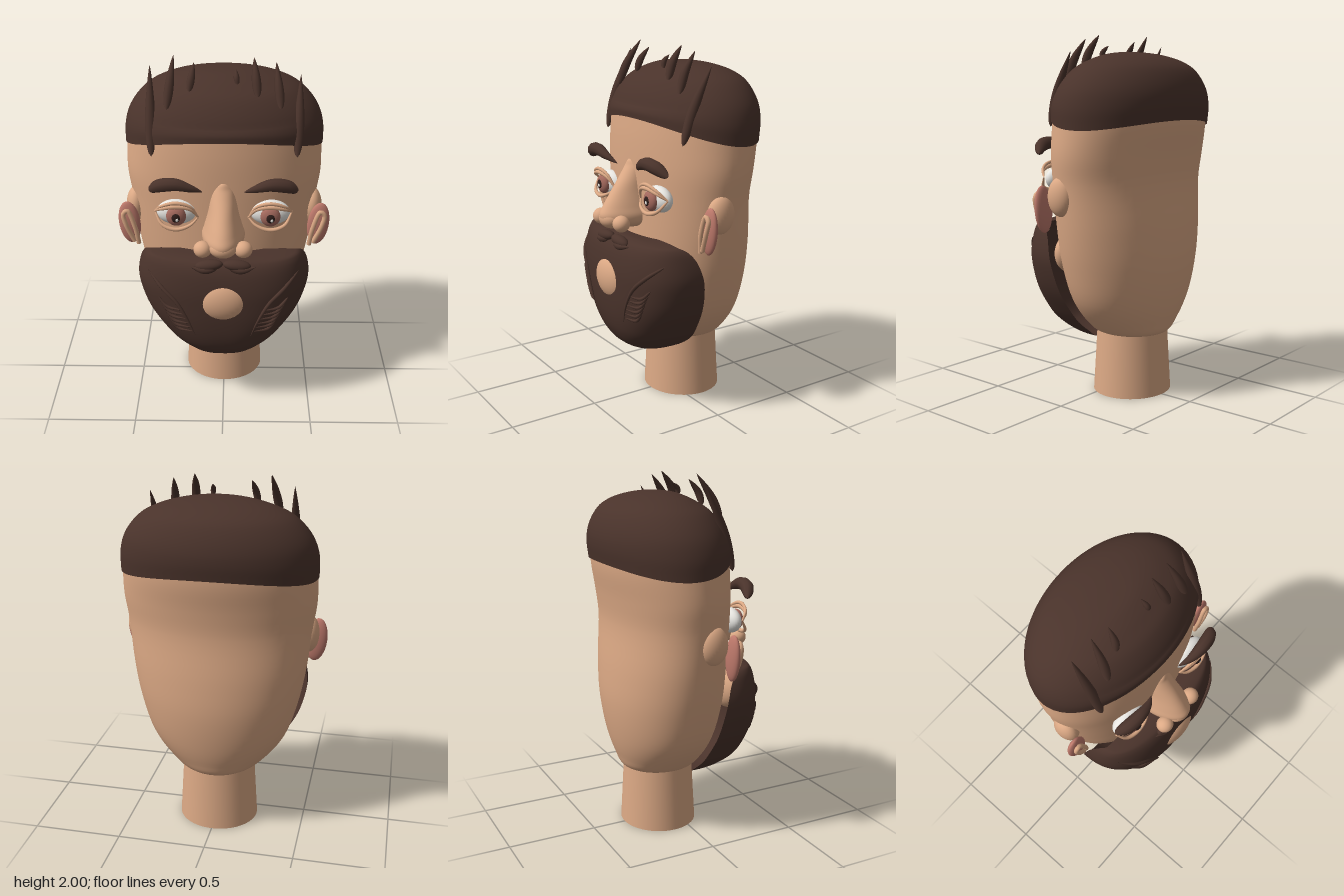
import * as THREE from 'three';
import { mergeVertices } from 'three/addons/utils/BufferGeometryUtils.js';

const V = (x, y, z) => new THREE.Vector3(x, y, z);
const flat = (name, color, double) => {
  const m = new THREE.MeshStandardMaterial({ color });
  m.name = name;
  if (double) m.side = THREE.DoubleSide;
  return m;
};

// Cross-section rows, bottom to top: [y, half width, front z, back z]
const HEAD = [[0.34, 0, -0.1, -0.1], [0.35, 0.2, 0.1, -0.3], [0.42, 0.29, 0.15, -0.335], [0.55, 0.385, 0.2, -0.372],
  [0.75, 0.45, 0.24, -0.4], [0.95, 0.488, 0.248, -0.398], [1.2, 0.515, 0.25, -0.38], [1.35, 0.535, 0.25, -0.395],
  [1.5, 0.532, 0.247, -0.42], [1.63, 0.522, 0.238, -0.425]];
const HAIR = [[1.49, 0.54, 0.252, -0.432], [1.6, 0.537, 0.25, -0.443], [1.7, 0.505, 0.225, -0.435], [1.8, 0.42, 0.16, -0.388],
  [1.85, 0.325, 0.09, -0.325], [1.88, 0.22, 0.03, -0.245], [1.895, 0.12, -0.02, -0.17], [1.9, 0, -0.09, -0.09]];
const BEARD = [[0.28, 0, 0.12, 0.12], [0.287, 0.08, 0.19, 0.08], [0.305, 0.15, 0.25, 0.055], [0.35, 0.225, 0.325, 0.03],
  [0.42, 0.31, 0.37, 0.038], [0.5, 0.37, 0.395, 0.05], [0.6, 0.43, 0.408, 0.063], [0.7, 0.465, 0.411, 0.075],
  [0.8, 0.48, 0.408, 0.092], [0.9, 0.458, 0.39, 0.125], [0.95, 0.43, 0.365, 0.165], [0.97, 0.395, 0.335, 0.2], [0.974, 0, 0.22, 0.22]];
const NOSE = [[1.015, 0, 0.3, 0.2], [1.022, 0.07, 0.37, 0.2], [1.05, 0.11, 0.42, 0.2], [1.09, 0.118, 0.434, 0.2], [1.14, 0.105, 0.41, 0.2],
  [1.22, 0.085, 0.357, 0.2], [1.3, 0.073, 0.3, 0.2], [1.35, 0.06, 0.268, 0.2], [1.38, 0.035, 0.255, 0.2], [1.39, 0, 0.24, 0.2]];

// Smooth skin over the rows; half = true builds only the front arc
function loft(rows, { half = false, power = 2, steps = 5, sides = 64 } = {}) {
  const a = new THREE.CatmullRomCurve3(rows.map(r => V(r[0], r[1], 0)), false, 'centripetal');
  const b = new THREE.CatmullRomCurve3(rows.map(r => V(r[0], r[2], r[3])), false, 'centripetal');
  const n = (rows.length - 1) * steps, pos = [], idx = [];
  const e = c => Math.sign(c) * Math.pow(Math.abs(c), 2 / power);
  for (let i = 0; i <= n; i++) {
    const p = a.getPoint(i / n), q = b.getPoint(i / n);
    const zc = half ? q.z : (q.y + q.z) / 2;
    for (let j = 0; j <= sides; j++) {
      const t = (j / sides) * Math.PI * (half ? 1 : 2);
      pos.push(Math.max(p.y, 0) * e(Math.cos(t)), p.x, zc + (q.y - zc) * e(Math.sin(t)));
      if (i < n && j < sides) {
        const k = i * (sides + 1) + j, u = k + sides + 1;
        idx.push(k, u, k + 1, u, u + 1, k + 1);
      }
    }
  }
  let g = new THREE.BufferGeometry();
  g.setAttribute('position', new THREE.Float32BufferAttribute(pos, 3));
  g.setIndex(idx);
  g = mergeVertices(g, 1e-5);
  g.computeVertexNormals();
  return g;
}

// Tube whose radius follows a rule along its length
function taper(points, radius, rule, seg = 28) {
  const curve = new THREE.CatmullRomCurve3(points);
  const g = new THREE.TubeGeometry(curve, seg, radius, 10, false), p = g.attributes.position, v = V(0, 0, 0);
  for (let i = 0; i <= seg; i++) {
    const c = curve.getPointAt(i / seg);
    for (let j = 0; j <= 10; j++) {
      v.fromBufferAttribute(p, i * 11 + j).sub(c).multiplyScalar(rule(i / seg)).add(c);
      p.setXYZ(i * 11 + j, v.x, v.y, v.z);
    }
  }
  return g;
}
const leaf = t => Math.pow(Math.max(0, Math.sin(Math.PI * Math.pow(t, 0.65))), 0.8);

// Front surface of the beard at a given x and y
function beardZ(x, y) {
  const i = Math.max(1, BEARD.findIndex(r => r[0] >= y));
  const lo = BEARD[i - 1], hi = BEARD[i], t = (y - lo[0]) / (hi[0] - lo[0]);
  const [, w, f, b] = lo.map((c, k) => c + (hi[k] - c) * t);
  return b + (f - b) * Math.pow(Math.max(0, 1 - Math.pow(Math.abs(x) / w, 2.6)), 1 / 2.6);
}

export function createModel() {
  const root = new THREE.Group();
  root.name = 'beardedHead';
  const skin = flat('skin', 0xdca985);
  const hair = flat('hair', 0x4a332b, true);
  const earPink = flat('earPink', 0xbf7a6c);
  const white = flat('eyeWhite', 0xe9e7e2);
  const irisMat = flat('iris', 0xa56a5e);
  const dark = flat('pupil', 0x2e1d1a);

  const add = (name, geo, mat) => {
    const m = new THREE.Mesh(geo, mat);
    m.name = name;
    root.add(m);
    return m;
  };
  const ball = (name, mat, p, r, tilt = 0) => {
    const m = add(name, new THREE.SphereGeometry(1, 32, 20), mat);
    m.position.set(...p);
    m.scale.set(...r);
    m.rotation.z = tilt;
  };

  // Head and neck
  add('head', loft(HEAD), skin);
  const neck = add('neck', new THREE.CylinderGeometry(0.203, 0.228, 0.42, 48), skin);
  neck.position.set(0, 0.21, -0.094);
  neck.scale.z = 0.94;

  // Hair cap with a hairline that rises at the front
  const cap = loft(HAIR), cp = cap.attributes.position;
  for (let i = 0; i < cp.count; i++) {
    const y = cp.getY(i), line = 1.49 + 0.68 * (cp.getZ(i) + 0.17) ** 2;
    if (y < 1.68) cp.setY(i, line + ((y - 1.49) / 0.19) * (1.68 - line));
  }
  cap.computeVertexNormals();
  add('hairCap', cap, hair);

  // Spiky locks: base x, y, z, tip x, y, z, radius
  for (const [bx, by, bz, tx, ty, tz, r] of [
    [-0.38, 1.5, 0.165, -0.385, 1.945, 0.0, 0.028], [-0.295, 1.75, 0.14, -0.26, 2.0, 0.01, 0.024],
    [-0.18, 1.83, 0.09, -0.155, 1.965, 0.02, 0.02], [0.07, 1.865, 0.075, 0.06, 1.935, 0.03, 0.015],
    [0.175, 1.81, 0.115, 0.155, 1.99, 0.015, 0.024], [0.295, 1.75, 0.125, 0.27, 1.965, 0.01, 0.024],
    [0.385, 1.5, 0.165, 0.4, 1.895, 0.0, 0.028]]) {
    const mid = V((bx + tx) / 2, (by + ty) / 2, (bz + tz) / 2 + 0.015);
    add('hairSpike', taper([V(bx, by, bz), mid, V(tx, ty, tz)], r, leaf), hair);
  }

  // Beard and mouth patch
  add('beard', loft(BEARD, { half: true, power: 2.6 }), hair);
  ball('mouthPatch', skin, [0, 0.735, 0.36], [0.145, 0.128, 0.074]);

  // Nose
  add('nose', loft(NOSE, { half: true, sides: 32 }), skin);
  ball('noseTip', skin, [0, 1.07, 0.37], [0.075, 0.055, 0.064]);

  for (const s of [-1, 1]) {
    ball('nostril', skin, [s * 0.108, 1.06, 0.37], [0.048, 0.045, 0.046]);

    // Moustache
    ball('moustacheLobe', hair, [s * 0.075, 0.957, 0.36], [0.075, 0.03, 0.034], s * -0.1);
    add('moustacheTip', taper([V(s * 0.03, 0.945, 0.365), V(s * 0.1, 0.935, 0.38), V(s * 0.175, 0.945, 0.36)], 0.02, leaf), hair);

    // Eye
    ball('eyeball', white, [s * 0.25, 1.207, 0.222], [0.107, 0.071, 0.054]);
    ball('iris', irisMat, [s * 0.25, 1.205, 0.272], [0.053, 0.056, 0.03]);
    ball('pupil', dark, [s * 0.25, 1.205, 0.288], [0.027, 0.03, 0.02]);
    ball('eyeGlint', white, [s * 0.25 + 0.006, 1.198, 0.306], [0.008, 0.01, 0.004]);
    const lid = (name, top, r) => add(name, taper(
      [V(s * 0.365, 1.22, 0.24), V(s * 0.325, 1.21 + top * 0.7, 0.283), V(s * 0.25, 1.21 + top, 0.298),
        V(s * 0.175, 1.21 + top * 0.7, 0.288), V(s * 0.133, 1.195, 0.262)], r, t => 0.4 + 0.6 * Math.sin(Math.PI * t)), skin);
    lid('upperLid', 0.062, 0.012);
    lid('lidCrease', 0.083, 0.01);
    lid('lowerLid', -0.072, 0.011);

    // Eyebrow
    add('eyebrow', taper([V(s * 0.388, 1.348, 0.255), V(s * 0.33, 1.39, 0.288), V(s * 0.25, 1.402, 0.3),
      V(s * 0.17, 1.375, 0.29), V(s * 0.108, 1.342, 0.262)], 0.037, leaf), hair);

    // Ear
    ball('earBase', skin, [s * 0.49, 1.14, -0.005], [0.056, 0.105, 0.078]);
    ball('ear', earPink, [s * 0.523, 1.07, 0.09], [0.06, 0.128, 0.027], s * -0.1);
    add('earRidge', taper([V(s * 0.475, 0.95, 0.112), V(s * 0.49, 1.05, 0.122), V(s * 0.53, 1.155, 0.12), V(s * 0.552, 1.135, 0.12),
      V(s * 0.54, 1.07, 0.124), V(s * 0.497, 0.965, 0.115)], 0.013, () => 1, 40), skin);

    // Beard strands laid on the beard surface
    const strand = (pts, r) => add('beardStrand',
      taper(pts.map(([x, y]) => V(s * x, y, beardZ(x, y) + 0.006)), r, leaf), hair);
    strand([[0.41, 0.885], [0.33, 0.81], [0.25, 0.73], [0.19, 0.62], [0.15, 0.51]], 0.011);
    for (let i = 0; i < 6; i++) {
      const x = 0.355 - 0.013 * i, y = 0.745 - 0.029 * i, u = 0.215 - 0.01 * i, w = 0.69 - 0.028 * i;
      strand([[x, y], [(x + u) / 2 + 0.02, (y + w) / 2 - 0.022], [u, w]], 0.009);
    }
  }
  return root;
}
